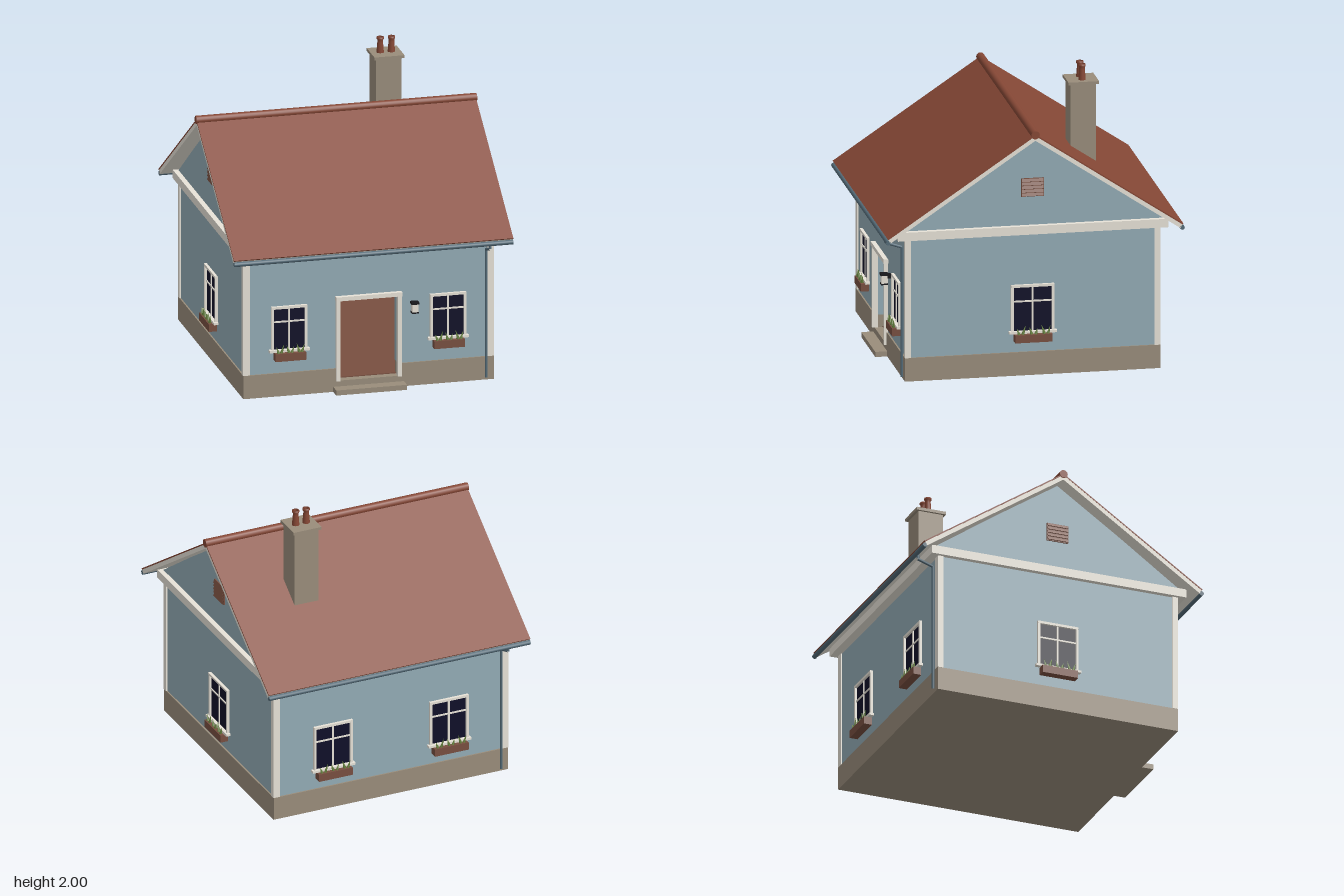
import * as THREE from 'three';

const mat = (name, color, extra = {}) => Object.assign(new THREE.MeshStandardMaterial({ color, ...extra }), { name });
const M = {
  wall: mat('wall blue', 0x93abb5),
  trim: mat('trim white', 0xebe6db),
  stone: mat('stone', 0x998d7b),
  roof: mat('roof tile', 0x854735),
  wood: mat('wood brown', 0x784f40),
  glass: mat('window glass', 0x0f0f28),
  metal: mat('gutter slate', 0x546b78),
  iron: mat('lantern iron', 0x17171b),
  leaf: mat('leaf green', 0x64803c, { side: THREE.DoubleSide }),
};

function add(parent, name, geometry, material, x = 0, y = 0, z = 0) {
  const mesh = new THREE.Mesh(geometry, material);
  mesh.name = name;
  mesh.position.set(x, y, z);
  parent.add(mesh);
  return mesh;
}

// Box given by its extents on each axis
function box(parent, name, material, x0, x1, y0, y1, z0, z1) {
  return add(parent, name, new THREE.BoxGeometry(x1 - x0, y1 - y0, z1 - z0), material,
    (x0 + x1) / 2, (y0 + y1) / 2, (z0 + z1) / 2);
}

// Cross-section of [z, y] points stretched along x
function prism(points, length) {
  const shape = new THREE.Shape(points.map(([z, y]) => new THREE.Vector2(z, y)));
  return new THREE.ExtrudeGeometry(shape, { depth: length, bevelEnabled: false })
    .rotateY(-Math.PI / 2).translate(length / 2, 0, 0);
}

// Window facing +z, with its back on z = 0; y is measured from the sill top
function makeWindow(w, h, planterWidth) {
  const g = new THREE.Group();
  g.name = 'window';
  const f = 0.017, a = w / 2;
  box(g, 'windowGlass', M.glass, -a + f, a - f, 0, h - f, -0.005, 0.004);
  for (const s of [-1, 1]) {
    const c = s * (a - f / 2);
    box(g, 'windowJamb', M.trim, c - f / 2, c + f / 2, 0, h, 0, 0.018);
  }
  box(g, 'windowHead', M.trim, -a, a, h - f, h, 0, 0.019);
  box(g, 'mullion', M.trim, -0.006, 0.006, 0, h - f, 0, 0.01);
  box(g, 'crossBar', M.trim, -a + f, a - f, h * 0.62, h * 0.62 + 0.011, 0, 0.01);
  box(g, 'windowSill', M.trim, -a - 0.015, a + 0.015, -0.016, 0, 0, 0.03);

  // Planter box with pointed leaves
  const p = planterWidth / 2;
  box(g, 'planter', M.wood, -p, p, -0.071, -0.018, 0, 0.056);
  const count = 6;
  for (let i = 0; i < count; i++) {
    const height = 0.045 + 0.02 * ((i * 2) % 3) / 2;
    const leaf = add(g, 'plant', new THREE.ConeGeometry(0.011, height, 4), M.leaf,
      -p + planterWidth * (i + 0.5) / count, -0.018 + height / 2, 0.042);
    leaf.rotation.z = (i % 2 ? -1 : 1) * 0.3;
  }
  return g;
}

export function createModel() {
  const house = new THREE.Group();
  house.name = 'cottage';
  const X = 0.84, Z = 0.845, TOP = 0.97, T = 0.08;

  // Stone base, with a gap at the doorway
  box(house, 'baseSlab', M.stone, -0.85, 0.85, 0, 0.075, -0.855, 0.855);
  box(house, 'plinthBack', M.stone, -0.85, 0.85, 0.075, 0.16, -0.855, -0.78);
  for (const s of [-1, 1]) {
    const a = s * 0.85, b = s * 0.77, d = s * 0.2;
    box(house, 'plinthSide', M.stone, Math.min(a, b), Math.max(a, b), 0.075, 0.16, -0.78, 0.775);
    box(house, 'plinthFront', M.stone, Math.min(a, d), Math.max(a, d), 0.075, 0.16, 0.775, 0.855);
  }
  box(house, 'doorStep', M.stone, -0.24, 0.24, 0, 0.035, 0.85, 0.935);

  // Walls
  const front = new THREE.Shape([[-X, 0.16], [-0.2, 0.16], [-0.2, 0.635], [0.2, 0.635], [0.2, 0.16],
    [X, 0.16], [X, TOP], [-X, TOP]].map(([x, y]) => new THREE.Vector2(x, y)));
  add(house, 'frontWall', new THREE.ExtrudeGeometry(front, { depth: T, bevelEnabled: false }), M.wall, 0, 0, Z - T);
  box(house, 'backWall', M.wall, -X, X, 0.16, TOP, -Z, -Z + T);
  for (const s of [-1, 1]) {
    const c = s * (X - T / 2);
    box(house, 'sideWall', M.wall, c - T / 2, c + T / 2, 0.16, TOP, -Z + T, Z - T);
    add(house, 'innerSideWall', new THREE.BoxGeometry(0.008, 0.89, 1.55), M.trim, s * 0.756, 0.525, 0);
  }

  // Room behind the open doorway
  box(house, 'innerBackWall', M.trim, -0.76, 0.76, 0.08, TOP, -0.775, -0.76);
  box(house, 'floor', M.wood, -0.765, 0.765, 0.073, 0.081, -0.77, 0.8);

  // Door frame
  for (const s of [-1, 1]) {
    add(house, 'doorJamb', new THREE.BoxGeometry(0.028, 0.56, 0.04), M.trim, s * 0.209, 0.355, 0.852);
  }
  box(house, 'doorLintel', M.trim, -0.224, 0.224, 0.63, 0.658, 0.832, 0.876);

  // Corner boards and eaves band
  for (const sx of [-1, 1]) for (const sz of [-1, 1]) {
    add(house, 'cornerBoard', new THREE.BoxGeometry(0.048, 0.81, 0.038), M.trim, sx * 0.828, 0.565, sz * 0.835);
  }
  box(house, 'eavesBand', M.trim, -0.875, 0.875, 0.967, 1.025, -0.905, 0.905);

  // Gables with louvred vents
  add(house, 'gables', prism([[-0.89, 1.02], [0.89, 1.02], [0, 1.64]], 2 * X), M.wall);
  for (const s of [-1, 1]) {
    const vent = new THREE.Group();
    vent.name = 'gableVent';
    box(vent, 'ventPanel', M.wood, -0.075, 0.075, 1.22, 1.345, 0, 0.008);
    for (let i = 0; i < 5; i++) {
      const slat = add(vent, 'ventSlat', new THREE.BoxGeometry(0.144, 0.02, 0.005), M.wood, 0, 1.234 + i * 0.0245, 0.011);
      slat.rotation.x = -0.4;
    }
    vent.position.x = s * X;
    vent.rotation.y = s * Math.PI / 2;
    house.add(vent);
  }

  // Roof: white deck with a thin tile layer, and a round ridge
  add(house, 'roofDeck', prism([[0, 1.662], [-0.985, 1.003], [-0.97, 0.978], [0, 1.628], [0.97, 0.978], [0.985, 1.003]], 1.892), M.trim);
  add(house, 'roofTiles', prism([[0, 1.671], [-0.99, 1.009], [-0.985, 1.002], [0, 1.661], [0.985, 1.002], [0.99, 1.009]], 1.896), M.roof);
  add(house, 'ridge', new THREE.CylinderGeometry(0.028, 0.028, 1.905, 16).rotateZ(Math.PI / 2), M.roof, 0, 1.667, 0);

  // Gutter and downpipe, repeated by a half turn
  for (const turn of [0, Math.PI]) {
    const drain = new THREE.Group();
    drain.name = 'drainage';
    add(drain, 'gutter', new THREE.CylinderGeometry(0.016, 0.016, 1.892, 12).rotateZ(Math.PI / 2), M.metal, 0, 0.981, 0.984);
    const path = new THREE.CurvePath();
    const pts = [[0.97, 0.98], [0.975, 0.943], [0.866, 0.906], [0.866, 0.02]].map(([z, y]) => new THREE.Vector3(0.795, y, z));
    for (let i = 0; i < 3; i++) path.add(new THREE.LineCurve3(pts[i], pts[i + 1]));
    path.curves.forEach((c) => add(drain, 'downpipe', new THREE.TubeGeometry(c, 1, 0.0095, 8), M.metal));
    drain.rotation.y = turn;
    house.add(drain);
  }

  // Chimney with two open pots
  box(house, 'chimneyStack', M.stone, 0.354, 0.528, 1.2, 1.876, -0.488, -0.316);
  box(house, 'chimneyCap', M.stone, 0.339, 0.543, 1.874, 1.894, -0.505, -0.3);
  const pot = [[0.025, 0], [0.019, 0.07], [0.019, 0.09], [0.024, 0.092], [0.024, 0.106], [0.014, 0.106], [0.014, 0.02], [0, 0.02]];
  for (const x of [0.404, 0.48]) {
    add(house, 'chimneyPot', new THREE.LatheGeometry(pot.map(([r, y]) => new THREE.Vector2(r, y)), 16), M.roof, x, 1.894, -0.402);
  }

  // Windows: front, back and both gables
  const place = (w, h, planter, x, y, z, turn) => {
    const win = makeWindow(w, h, planter);
    win.position.set(x, y, z);
    win.rotation.y = turn;
    house.add(win);
  };
  for (const s of [-1, 1]) {
    place(0.244, 0.297, 0.208, s * 0.539, 0.325, Z, 0);
    place(0.28, 0.315, 0.245, s * 0.42, 0.305, -Z, Math.PI);
    place(0.29, 0.315, 0.25, s * X, 0.305, 0, s * Math.PI / 2);
  }

  // Wall lantern beside the door
  const lantern = new THREE.Group();
  lantern.name = 'lantern';
  box(lantern, 'lanternBracket', M.iron, -0.01, 0.01, 0.555, 0.585, 0, 0.03);
  box(lantern, 'lanternTop', M.iron, -0.026, 0.026, 0.577, 0.59, 0.018, 0.07);
  box(lantern, 'lanternLight', M.trim, -0.02, 0.02, 0.523, 0.577, 0.024, 0.064);
  box(lantern, 'lanternBase', M.iron, -0.023, 0.023, 0.514, 0.523, 0.021, 0.067);
  lantern.position.set(0.304, 0, Z);
  house.add(lantern);

  return house;
}
